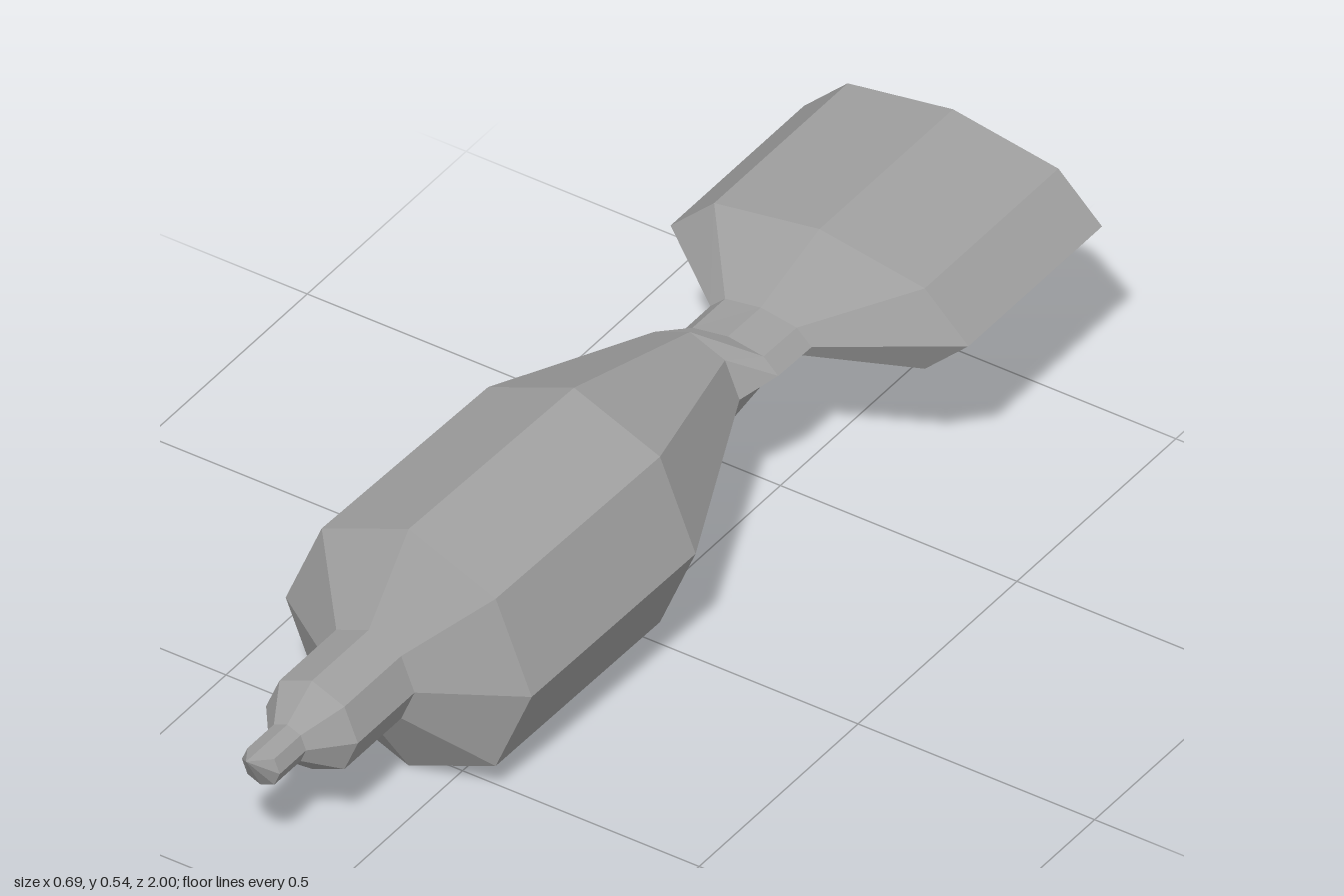
import * as THREE from 'three';

const SIDES = 8;

// One octagonal cross-section: centre, half width, half height, depth
function ring([cx, cy, rx, ry, z]) {
  return Array.from({ length: SIDES }, (_, k) => {
    const a = (k / SIDES) * Math.PI * 2;
    return new THREE.Vector3(cx + rx * Math.cos(a), cy + ry * Math.sin(a), z);
  });
}

// Skin a list of rings running from front to back
function skin(rings, capFront, capBack) {
  const points = [];
  for (let i = 0; i < rings.length - 1; i++) {
    for (let k = 0; k < SIDES; k++) {
      const n = (k + 1) % SIDES;
      const a = rings[i][k], b = rings[i][n], c = rings[i + 1][k], d = rings[i + 1][n];
      points.push(a, c, b, b, c, d);
    }
  }
  // Caps fan out from the top corner (index 2)
  const fan = (r, front) => {
    for (let k = 1; k < SIDES - 1; k++) {
      const p = r[(2 + k) % SIDES], q = r[(3 + k) % SIDES];
      points.push(r[2], front ? p : q, front ? q : p);
    }
  };
  if (capFront) fan(rings[0], true);
  if (capBack) fan(rings[rings.length - 1], false);
  const geometry = new THREE.BufferGeometry().setFromPoints(points);
  geometry.computeVertexNormals();
  return geometry;
}

export function createModel() {
  const group = new THREE.Group();
  const grey = new THREE.MeshStandardMaterial({ color: 0xa0a0a0, flatShading: true });

  const nib = ring([-0.122, 0.243, 0.04, 0.04, 0.953]);
  nib[2].z = 1; // top corner is drawn out into the point
  const nibBase = ring([-0.122, 0.243, 0.04, 0.04, 0.87]);
  const collarFront = ring([-0.11, 0.25, 0.097, 0.097, 0.81]);
  const collarBack = ring([-0.109, 0.251, 0.097, 0.097, 0.633]);
  const bodyFront = ring([-0.087, 0.261, 0.26, 0.26, 0.54]);
  const bodyBack = ring([-0.06, 0.285, 0.257, 0.257, 0.06]);
  const bodyEnd = ring([-0.057, 0.335, 0.105, 0.105, -0.3]);
  const neckFront = ring([-0.02, 0.363, 0.106, 0.042, -0.365]);
  const neckBack = ring([-0.019, 0.363, 0.107, 0.042, -0.467]);
  const tailFront = ring([0.029, 0.402, 0.315, 0.125, -0.58]);
  const tailBack = ring([0.029, 0.402, 0.315, 0.125, -1]);

  const add = (name, rings, capFront = false, capBack = false) => {
    const mesh = new THREE.Mesh(skin(rings, capFront, capBack), grey);
    mesh.name = name;
    group.add(mesh);
  };
  grey.name = 'grey';

  add('tip', [nib, nibBase], true);
  add('collar', [nibBase, collarFront, collarBack]);
  add('body', [collarBack, bodyFront, bodyBack, bodyEnd]);
  add('neck', [bodyEnd, neckFront, neckBack]);
  add('flatTail', [neckBack, tailFront, tailBack], false, true);

  return group;
}
